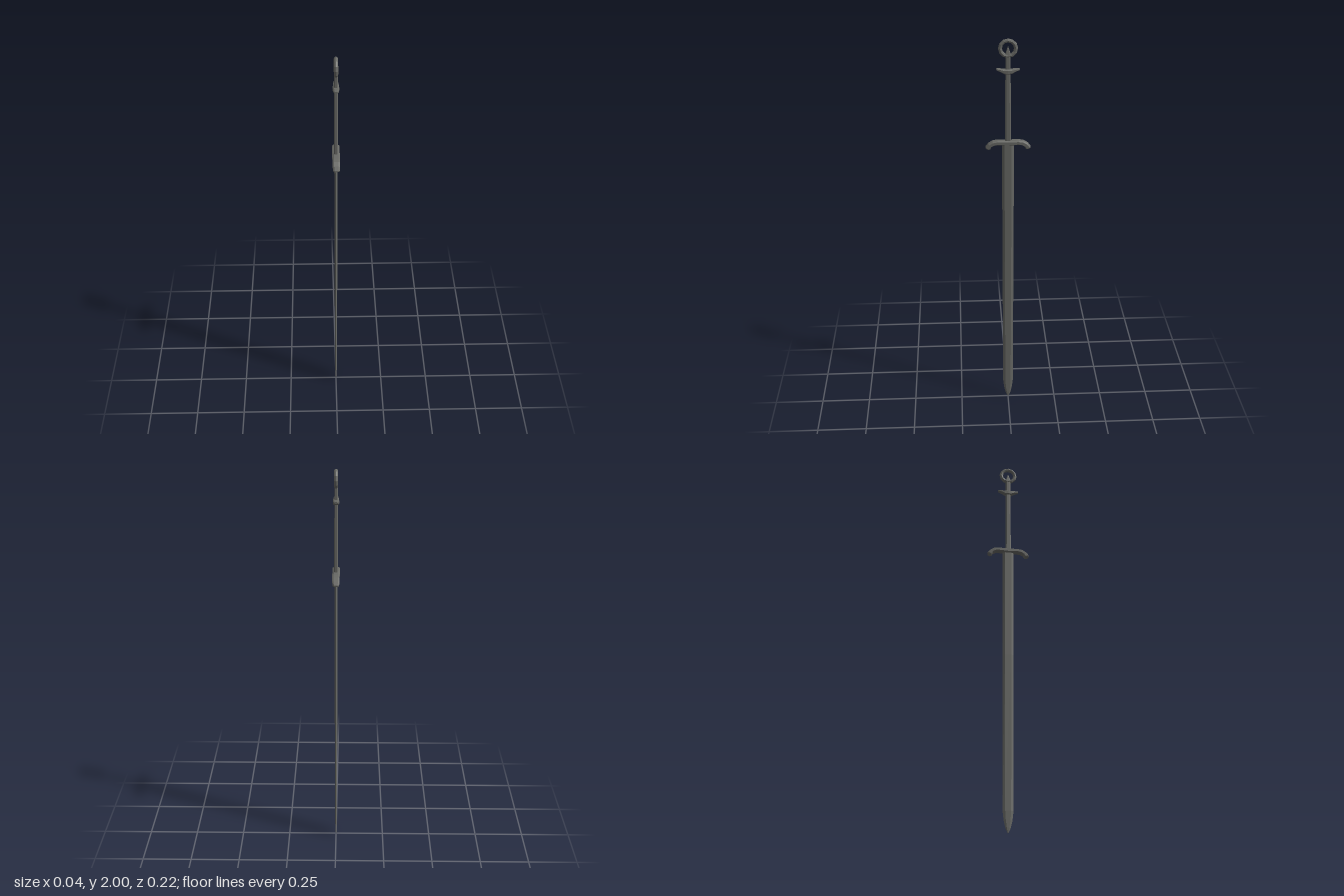
import * as THREE from 'three';

const steel = new THREE.MeshStandardMaterial({ color: 0x676864 });
steel.name = 'dark steel';

// Skins a list of rings (arrays of [x, y, z]) with capped ends and flat faces
function loft(rings) {
  const n = rings[0].length, tris = [];
  for (let i = 0; i < rings.length - 1; i++) {
    for (let j = 0; j < n; j++) {
      const k = (j + 1) % n, a = rings[i], b = rings[i + 1];
      tris.push([a[j], a[k], b[k]], [a[j], b[k], b[j]]);
    }
  }
  const last = rings[rings.length - 1];
  for (let j = 1; j < n - 1; j++) {
    tris.push([rings[0][0], rings[0][j + 1], rings[0][j]]);
    tris.push([last[0], last[j], last[j + 1]]);
  }
  // Signed volume decides the winding
  const v = (p) => new THREE.Vector3(...p);
  const volume = tris.reduce((s, [a, b, c]) => s + v(a).dot(v(b).cross(v(c))), 0);
  if (volume < 0) tris.forEach((t) => t.reverse());
  const geo = new THREE.BufferGeometry();
  geo.setAttribute('position', new THREE.Float32BufferAttribute(tris.flat(2), 3));
  geo.computeVertexNormals();
  return geo;
}

// Eight-sided section, half width w in x, half height h, at (y, z), leaning by angle
function octagon(y, z, w, h, angle = 0) {
  const c = 0.58;
  return [[w, h * c], [w * c, h], [-w * c, h], [-w, h * c], [-w, -h * c], [-w * c, -h], [w * c, -h], [w, -h * c]]
    .map(([x, t]) => [x, y + t * Math.cos(angle), z + t * Math.sin(angle)]);
}

// Mirrors one arm's stations [z, y, w, h, angle] to the other side
function crosspiece(arm) {
  const other = arm.slice(1).reverse().map(([z, y, w, h, a]) => [-z, y, w, h, -a]);
  return loft([...other, ...arm].map(([z, y, w, h, a]) => octagon(y, z, w, h, a)));
}

export function createModel() {
  const group = new THREE.Group();
  const add = (name, geo) => {
    const mesh = new THREE.Mesh(geo, steel);
    mesh.name = name;
    group.add(mesh);
    return mesh;
  };

  // Six-sided blade with bevelled edges, drawn in to a point: [y, half width, half flat, half thickness]
  const blade = [
    [0.005, 0.002, 0.001, 0.001], [0.03, 0.013, 0.006, 0.003], [0.065, 0.021, 0.011, 0.004],
    [0.11, 0.026, 0.014, 0.005], [0.9, 0.028, 0.016, 0.007], [1.485, 0.029, 0.017, 0.008],
  ];
  add('blade', loft(blade.map(([y, e, f, t]) =>
    [[0, y, e], [t, y, f], [t, y, -f], [0, y, -e], [-t, y, -f], [-t, y, f]])));

  // Guard with arms that curl down
  add('guard', crosspiece([
    [0, 1.489, 0.018, 0.012, 0], [0.05, 1.491, 0.018, 0.011, 0.08], [0.07, 1.488, 0.018, 0.011, 0.35],
    [0.087, 1.478, 0.017, 0.011, 0.75], [0.097, 1.464, 0.016, 0.012, 1.05], [0.1, 1.46, 0.012, 0.009, 1.1],
  ]));

  // Slim tang with chamfered corners, ending in a spike inside the ring
  const tang = [[1.48, 0.009, 0.014], [1.91, 0.008, 0.012], [1.925, 0.007, 0.013], [1.962, 0.001, 0.001]];
  add('grip', loft(tang.map(([y, x, z]) =>
    [[x, y, z * 0.6], [x * 0.6, y, z], [-x * 0.6, y, z], [-x, y, z * 0.6],
      [-x, y, -z * 0.6], [-x * 0.6, y, -z], [x * 0.6, y, -z], [x, y, -z * 0.6]])));

  // Boat-shaped upper crosspiece
  add('pommelBar', crosspiece([
    [0, 1.843, 0.015, 0.012, 0], [0.018, 1.844, 0.014, 0.011, 0],
    [0.035, 1.85, 0.012, 0.007, 0], [0.054, 1.854, 0.008, 0.004, 0],
  ]));

  // Ring at the top
  const ringGeo = new THREE.TorusGeometry(0.037, 0.0095, 8, 12).toNonIndexed();
  ringGeo.computeVertexNormals();
  const ring = add('ring', ringGeo);
  ring.rotation.y = Math.PI / 2;
  ring.position.y = 1.9535;
  return group;
}
